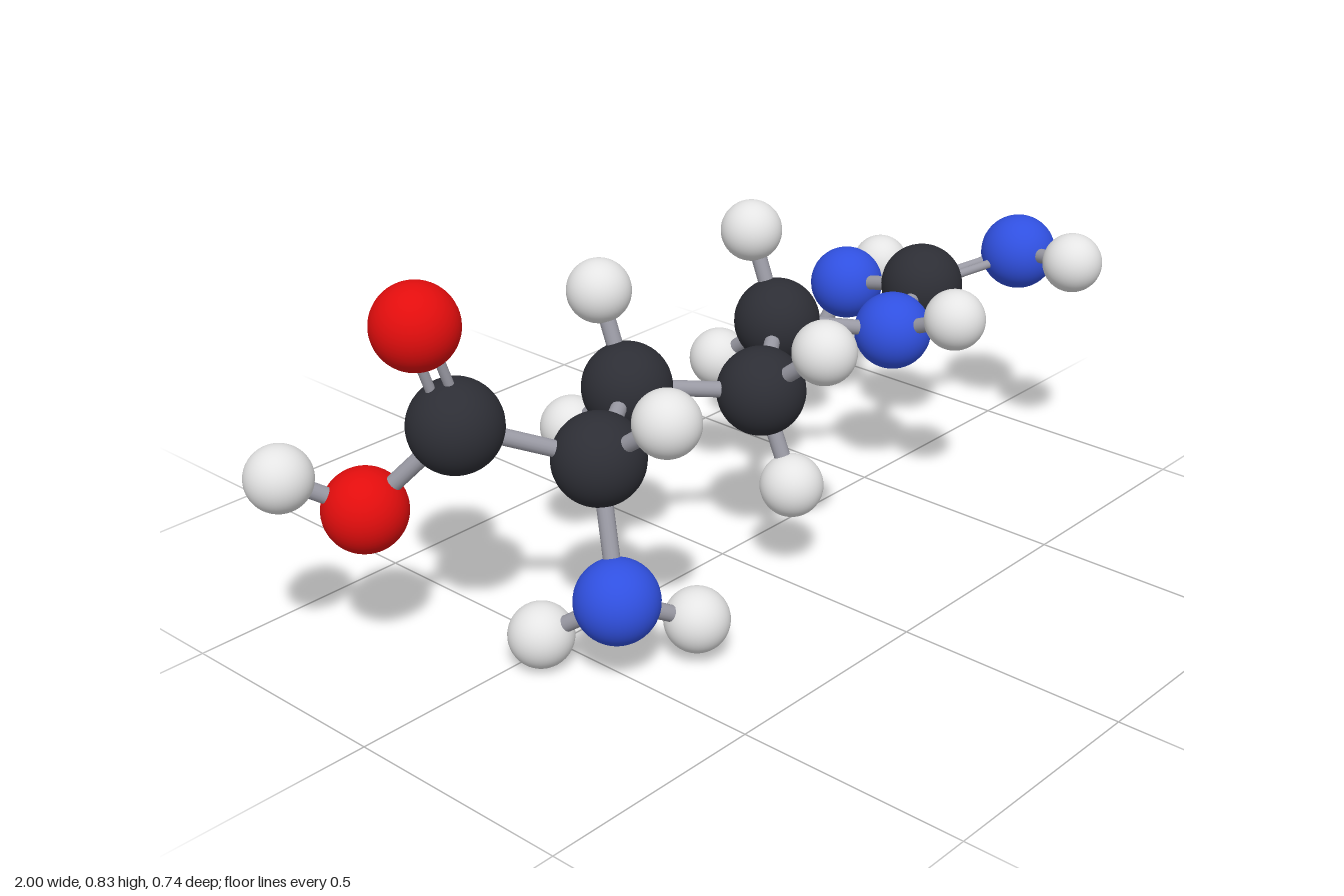
import * as THREE from 'three';

const mat = (name, color) => {
  const m = new THREE.MeshStandardMaterial({ color });
  m.name = name;
  return m;
};

export function createModel() {
  const group = new THREE.Group();
  group.name = 'molecule';

  // Atom kinds: name, radius, colour
  const kinds = {
    C: { name: 'carbon', r: 0.094, m: mat('charcoal', 0x2d2e35) },
    N: { name: 'nitrogen', r: 0.086, m: mat('blue', 0x3050e0) },
    O: { name: 'oxygen', r: 0.085, m: mat('red', 0xe20d0d) },
    H: { name: 'hydrogen', r: 0.067, m: mat('paleGrey', 0xe4e4e4) },
  };
  const bondMaterial = mat('bondGrey', 0x9a9aa4);
  for (const k of Object.values(kinds)) k.geo = new THREE.SphereGeometry(k.r, 40, 28);

  // Atom positions; the first letter of each key is its kind
  const atoms = {
    O1: [-0.755, 0.748, -0.075], C1: [-0.687, 0.531, -0.058],
    O2: [-0.8, 0.349, -0.202], H1: [-0.933, 0.438, -0.283],
    C2: [-0.463, 0.43, 0.094], H2: [-0.452, 0.553, 0.264],
    N1: [-0.516, 0.175, 0.187], H3: [-0.577, 0.069, 0.036], H4: [-0.354, 0.088, 0.247],
    C3: [-0.222, 0.455, -0.063], H5: [-0.216, 0.643, -0.143], H6: [-0.23, 0.32, -0.22],
    C4: [0.02, 0.411, 0.09], H7: [0.02, 0.543, 0.256], H8: [0.02, 0.22, 0.175],
    C5: [0.254, 0.455, -0.066], H9: [0.256, 0.646, -0.143], H10: [0.248, 0.323, -0.23],
    N2: [0.479, 0.403, 0.082], H11: [0.463, 0.481, 0.26],
    C6: [0.714, 0.421, -0.013],
    N3: [0.912, 0.48, 0.118], H12: [0.855, 0.513, 0.302],
    N4: [0.741, 0.356, -0.256], H13: [0.655, 0.192, -0.301], H14: [0.928, 0.346, -0.297],
  };
  const pos = {};
  for (const [key, p] of Object.entries(atoms)) {
    pos[key] = new THREE.Vector3(...p);
    const k = kinds[key[0]];
    const ball = new THREE.Mesh(k.geo, k.m);
    ball.name = k.name + 'Atom' + key.slice(1);
    ball.position.copy(pos[key]);
    group.add(ball);
  }

  // Cylinder rod between two atoms, optionally shifted sideways
  const up = new THREE.Vector3(0, 1, 0);
  function rod(a, b, radius, shift = new THREE.Vector3()) {
    const dir = pos[b].clone().sub(pos[a]);
    const mesh = new THREE.Mesh(
      new THREE.CylinderGeometry(radius, radius, dir.length(), 16), bondMaterial);
    mesh.name = 'bond' + a + b;
    mesh.position.copy(pos[a]).add(pos[b]).multiplyScalar(0.5).add(shift);
    mesh.quaternion.setFromUnitVectors(up, dir.normalize());
    group.add(mesh);
  }

  // Single bonds: each atom with the atoms it holds
  const singles = {
    C1: ['O2', 'C2'], O2: ['H1'],
    C2: ['H2', 'N1', 'C3'], N1: ['H3', 'H4'],
    C3: ['H5', 'H6', 'C4'], C4: ['H7', 'H8', 'C5'], C5: ['H9', 'H10', 'N2'],
    N2: ['H11', 'C6'], C6: ['N4'], N3: ['H12'], N4: ['H13', 'H14'],
  };
  for (const [a, ends] of Object.entries(singles)) {
    for (const b of ends) rod(a, b, 0.017);
  }

  // Double bonds: twin rods spread in the plane of the neighbouring atoms
  for (const [a, b, n1, n2] of [['C1', 'O1', 'O2', 'C2'], ['C6', 'N3', 'N2', 'N4']]) {
    const dir = pos[b].clone().sub(pos[a]).normalize();
    const side = pos[n2].clone().sub(pos[n1]);
    side.addScaledVector(dir, -side.dot(dir)).normalize();
    for (const s of [-1, 1]) rod(a, b, 0.01, side.clone().multiplyScalar(0.018 * s));
  }
  return group;
}
